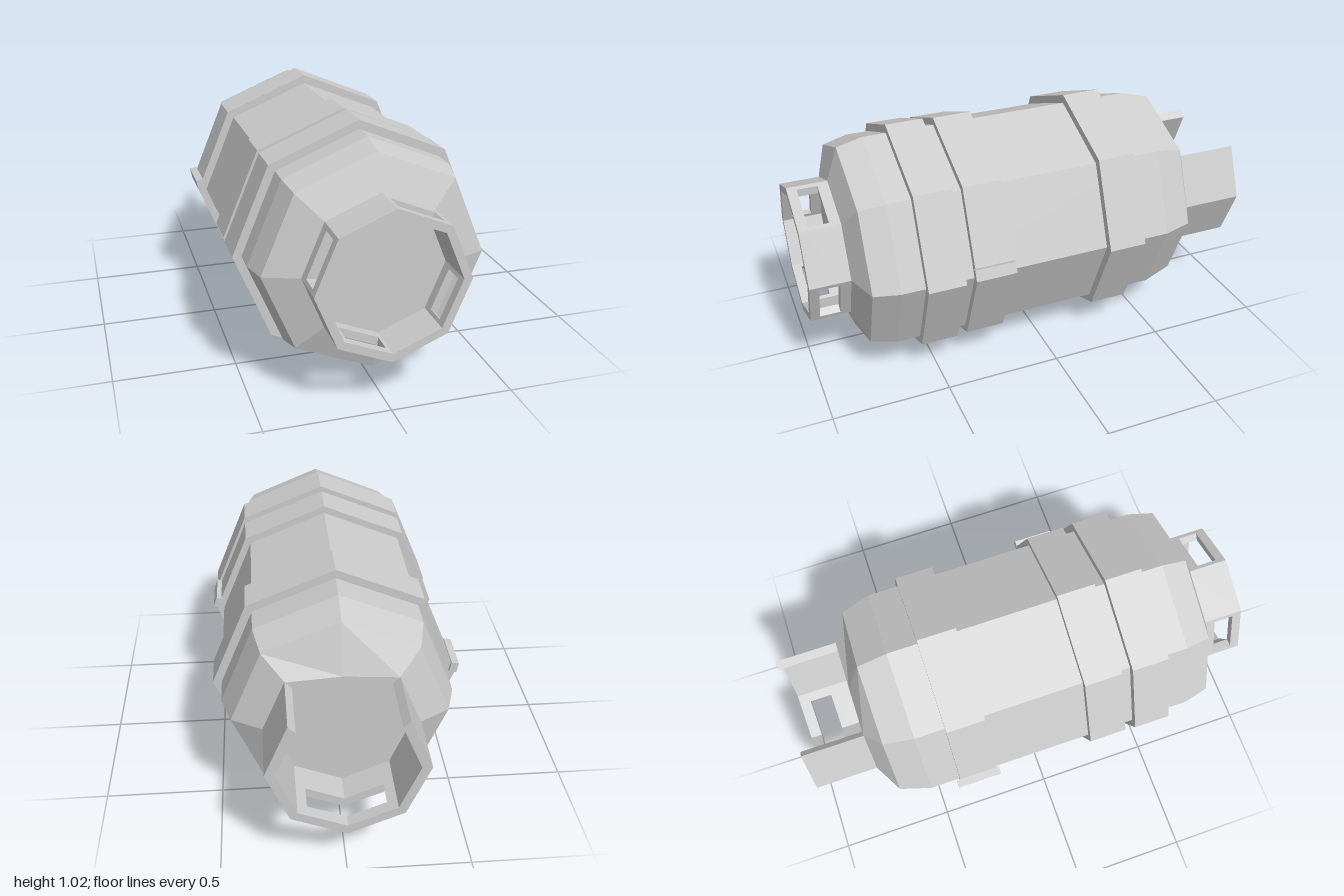
import * as THREE from 'three';

const CY = 0.512; // height of the long axis
const STEP = Math.PI / 4;

export function createModel() {
  const group = new THREE.Group();
  const material = new THREE.MeshStandardMaterial({ color: 0xcccccc, flatShading: true });

  const add = (name, geometry) => {
    const mesh = new THREE.Mesh(geometry, material);
    mesh.name = name;
    group.add(mesh);
    return mesh;
  };

  // Octagonal solid along z from [radius, z] pairs, back to front
  const octagon = (profile) => {
    const points = profile.map(([r, z]) => new THREE.Vector2(r, z));
    return new THREE.LatheGeometry(points, 8).rotateX(Math.PI / 2).translate(0, CY, 0);
  };

  // Main canister with bevelled ends
  const body = octagon([
    [0, -0.73], [0.31, -0.73], [0.435, -0.66], [0.475, -0.53],
    [0.475, 0.67], [0.447, 0.78], [0.305, 0.83], [0, 0.83],
  ]);
  // Lower the rear rim where the rear collar is open
  const pos = body.attributes.position;
  for (let i = 0; i < pos.count; i++) {
    if (pos.getZ(i) < -0.72 && pos.getY(i) > CY + 0.3) pos.setY(i, CY + 0.235);
  }
  body.computeVertexNormals();
  add('body', body);

  // Raised bands
  const bands = [['frontBand', 0.41, 0.57, 0.512], ['middleBand', 0.2, 0.365, 0.507], ['rearBand', -0.4, -0.235, 0.512]];
  for (const [name, z0, z1, r] of bands) {
    add(name, octagon([[0.46, z0], [r, z0], [r, z1], [0.46, z1]]));
  }

  // One mitred collar wall: outline and hole are [u, z], u running 0..1 across the side
  const wall = (name, side, inner, outer, outline, hole) => {
    const shape = new THREE.Shape(outline.map((p) => new THREE.Vector2(...p)));
    if (hole) shape.holes.push(new THREE.Path(hole.map((p) => new THREE.Vector2(...p))));
    const geometry = new THREE.ExtrudeGeometry(shape, { depth: 1, bevelEnabled: false });
    const p = geometry.attributes.position;
    const a = side * STEP, b = a + STEP;
    for (let i = 0; i < p.count; i++) {
      const u = p.getX(i), z = p.getY(i);
      const r = THREE.MathUtils.lerp(inner, outer, p.getZ(i));
      const x = r * THREE.MathUtils.lerp(Math.cos(a), Math.cos(b), u);
      const y = r * THREE.MathUtils.lerp(Math.sin(a), Math.sin(b), u);
      p.setXYZ(i, x, CY + y, z);
    }
    geometry.computeVertexNormals();
    add(name, geometry);
  };
  const rect = (u0, u1, z0, z1) => [[u0, z0], [u1, z0], [u1, z1], [u0, z1]];

  // Front collar, a slot in every second side
  for (let side = 0; side < 8; side++) {
    const slot = side % 2 ? rect(0.08, 0.92, 0.875, 0.96) : null;
    wall('frontCollarSide', side, 0.27, 0.305, rect(0, 1, 0.82, 1), slot);
  }

  // Rear collar, open on top, with one slot folded around the bottom corner
  const [back, s0, s1, root] = [-1, -0.95, -0.85, -0.72];
  for (const side of [0, 3, 4, 5, 6, 7]) {
    let outline = rect(0, 1, back, root);
    if (side === 5) {
      outline = [[0, back], [1, back], [1, s0], [0.2, s0], [0.2, s1], [1, s1], [1, root], [0, root]];
    } else if (side === 6) {
      outline = [[0, back], [1, back], [1, root], [0, root], [0, s1], [0.8, s1], [0.8, s0], [0, s0]];
    }
    wall('rearCollarSide', side, 0.272, 0.312, outline);
  }

  // Band clasps
  const leftClasp = add('leftClasp', new THREE.BoxGeometry(0.026, 0.048, 0.175));
  leftClasp.position.set(0.503, 0.543, 0.285);
  leftClasp.rotation.z = 0.35;
  const rightClasp = add('rightClasp', new THREE.BoxGeometry(0.032, 0.045, 0.19));
  rightClasp.position.set(-0.503, 0.541, -0.32);
  rightClasp.rotation.z = 0.2;

  return group;
}
